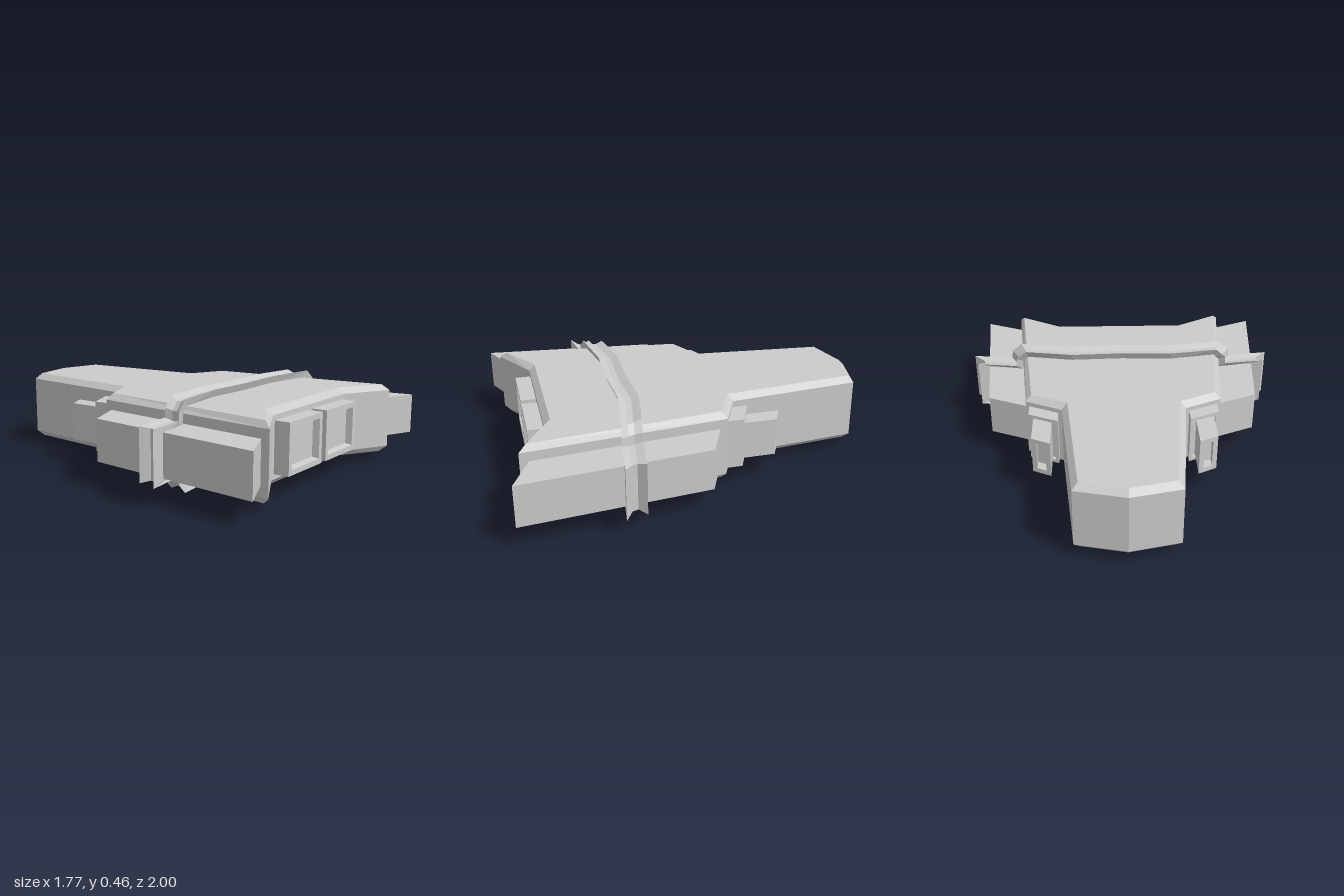
import * as THREE from 'three';

const MID = 0.234; // height of the horizontal symmetry plane
const material = new THREE.MeshStandardMaterial({ color: 0xcccccc, flatShading: true });

function addMesh(parent, name, geometry) {
  const mesh = new THREE.Mesh(geometry, material);
  mesh.name = name;
  parent.add(mesh);
}

// Faceted skin through closed rings of [x, y, z]; optionally caps the last ring (a quad)
function loft(rings, cap) {
  const pos = [];
  const quad = (a, b, c, d) => pos.push(...a, ...b, ...c, ...a, ...c, ...d);
  for (let i = 0; i < rings.length - 1; i++) {
    const n = rings[i].length;
    for (let j = 0; j < n; j++) {
      const k = (j + 1) % n;
      quad(rings[i][j], rings[i][k], rings[i + 1][k], rings[i + 1][j]);
    }
  }
  if (cap) quad(...rings[rings.length - 1]);
  const geometry = new THREE.BufferGeometry();
  geometry.setAttribute('position', new THREE.Float32BufferAttribute(pos, 3));
  geometry.computeVertexNormals();
  return geometry;
}

// Plan outline [x, z] extruded vertically about MID, with an optional chamfer
function slab(outline, half, bevel = 0) {
  const shape = new THREE.Shape(outline.map(([x, z]) => new THREE.Vector2(x, z)));
  const geometry = new THREE.ExtrudeGeometry(shape, {
    depth: 2 * (half - bevel), bevelEnabled: bevel > 0, bevelSegments: 1,
    bevelSize: bevel, bevelThickness: bevel, bevelOffset: -bevel,
  });
  return geometry.rotateX(Math.PI / 2).translate(0, MID + half - bevel, 0);
}

// Box along z, from z0 to z1, with a recessed end; slope skews the end across x
function recessedBlock({ x, w, h, z0, z1, rim, taper = 0, depth, slope = 0 }) {
  const dir = Math.sign(z1 - z0);
  const ring = (inset, z) => {
    const a = w / 2 - inset, b = h / 2 - inset;
    const points = [[-a, -b], [a, -b], [a, b], [-a, b]]
      .map(([px, py]) => [x + px, MID + py, z + slope * px]);
    return dir > 0 ? points : points.reverse();
  };
  return loft([ring(0, z0), ring(0, z1), ring(rim, z1), ring(rim + taper, z1 - dir * depth)], true);
}

// Flared band wrapped around the hull and both side pods
function bandGeometry() {
  // x, height above MID, outward direction, z of the centre line
  const right = [
    [0.764, 0.11, 2.6, 0.65, 0.43], [0.6, 0.11, 1, 0.65, 0.4], [0.595, 0.162, 1, 0.5, 0.4],
    [0.555, 0.192, 0.6, 1, 0.392], [0.29, 0.192, 0, 1, 0.348],
  ];
  const left = right.map(([x, y, nx, ny, z]) => [-x, y, -nx, ny, z]).reverse();
  const upper = [...right, [0, 0.192, 0, 1, 0.36], ...left];
  const lower = upper.map(([x, y, nx, ny, z]) => [x, -y, nx, -ny, z]).reverse();
  const path = [...upper, ...lower];
  // Concave profile: offset along z, height above the hull
  const profile = [[-0.035, -0.01], [-0.055, 0.04], [-0.015, 0.022], [0.015, 0.022], [0.055, 0.04], [0.035, -0.01]];
  return loft(profile.map(([dz, h]) => path.map(([x, y, nx, ny, z]) => {
    const lean = Math.abs(x) > 0.5 ? Math.sign(x) * 0.3 * dz : 0;
    return [x + nx * h + lean, MID + y + ny * h, z + dz];
  })));
}

export function createModel() {
  const model = new THREE.Group();
  model.name = 'hullModule';

  // Main hull: narrow tail, stepped shoulders, wide notched front
  const half = [[0.265, -0.94], [0.335, -0.21], [0.535, -0.115], [0.64, 0.945], [0.37, 0.797]];
  const mirrored = half.map(([x, z]) => [-x, z]).reverse();
  addMesh(model, 'hull', slab([[0, -1], ...half, ...mirrored], 0.192, 0.032));

  addMesh(model, 'band', bandGeometry());

  for (const s of [1, -1]) {
    const side = new THREE.Group();
    side.name = s > 0 ? 'leftSide' : 'rightSide';
    model.add(side);

    // Side pod
    const pod = [[0.5, -0.095], [0.75, 0.015], [0.85, 0.995], [0.56, 0.865]];
    addMesh(side, 'sidePod', slab(pod.map(([x, z]) => [s * x, z]), 0.11));

    // Shoulder socket and the hollow nozzle inside it
    addMesh(side, 'shoulderSocket', recessedBlock({
      x: s * 0.435, w: 0.16, h: 0.272, z0: -0.1, z1: -0.248, rim: 0.018, depth: 0.025, slope: s * 0.45,
    }));
    addMesh(side, 'nozzle', recessedBlock({
      x: s * 0.44, w: 0.1, h: 0.205, z0: -0.15, z1: -0.425, rim: 0.026, depth: 0.06, slope: s * 0.5,
    }));

    // Front vent
    addMesh(side, 'frontVent', recessedBlock({
      x: s * 0.186, w: 0.328, h: 0.265, z0: 0.74, z1: 0.88, rim: 0.028, taper: 0.008, depth: 0.035,
    }));
  }
  return model;
}
